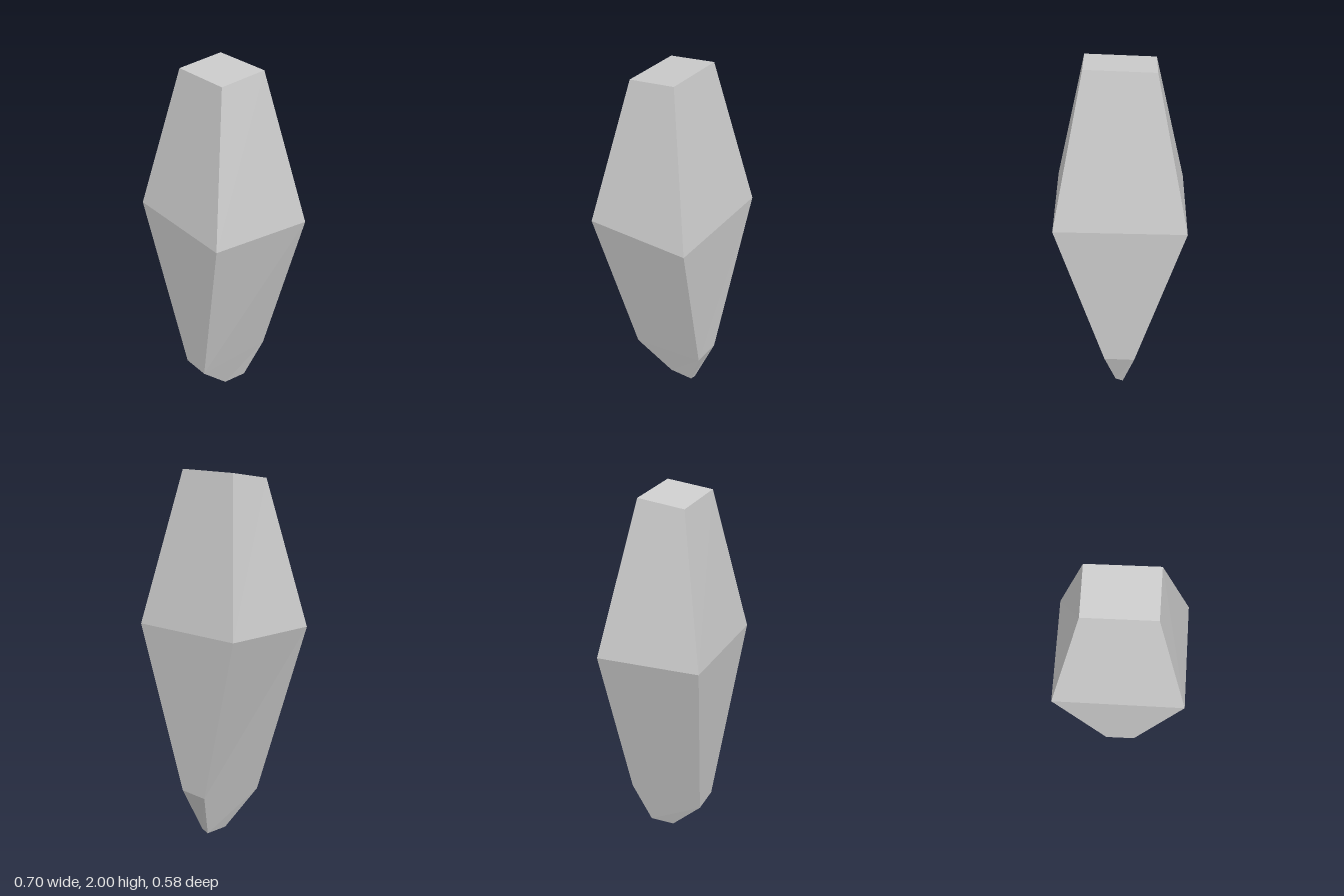
import * as THREE from 'three';

// Cross-sections from bottom to top; corners run front-left, front-right, back-right, back-left as seen from the front
const rings = [
  [[-0.015, 0, 0], [0.027, 0.015, 0], [0.027, 0.015, -0.14], [-0.015, 0, -0.14]],
  [[-0.08, 0.197, 0.195], [0.09, 0.205, 0.195], [0.09, 0.25, -0.23], [-0.08, 0.242, -0.23]],
  [[-0.35, 1.16, 0.29], [0.35, 1.175, 0.29], [0.35, 1.165, -0.288], [-0.35, 1.15, -0.288]],
  [[-0.184, 1.955, 0.137], [0.184, 1.97, 0.137], [0.184, 2, -0.12], [-0.184, 1.985, -0.12]],
];

// Flat-shaded skin through the given rings, with optional end caps
function loft(sections, capBottom, capTop) {
  const points = [];
  const quad = (a, b, c, d) => points.push(...a, ...b, ...c, ...a, ...c, ...d);
  for (let i = 0; i < sections.length - 1; i++) {
    const lower = sections[i], upper = sections[i + 1];
    for (let k = 0; k < 4; k++) {
      const n = (k + 1) % 4;
      quad(lower[k], lower[n], upper[n], upper[k]);
    }
  }
  if (capBottom) quad(...[...sections[0]].reverse());
  if (capTop) quad(...sections[sections.length - 1]);
  const geometry = new THREE.BufferGeometry();
  geometry.setAttribute('position', new THREE.Float32BufferAttribute(points, 3));
  geometry.computeVertexNormals();
  return geometry;
}

export function createModel() {
  const group = new THREE.Group();
  group.name = 'stoneShard';
  const stone = new THREE.MeshStandardMaterial({ color: 0xcccccc });
  stone.name = 'stone grey';

  const add = (name, geometry) => {
    const mesh = new THREE.Mesh(geometry, stone);
    mesh.name = name;
    group.add(mesh);
  };
  // Pointed tip, long lower taper and blunt upper block
  add('tip', loft(rings.slice(0, 2), true, false));
  add('lowerTaper', loft(rings.slice(1, 3), false, false));
  add('upperBlock', loft(rings.slice(2, 4), false, true));
  return group;
}
